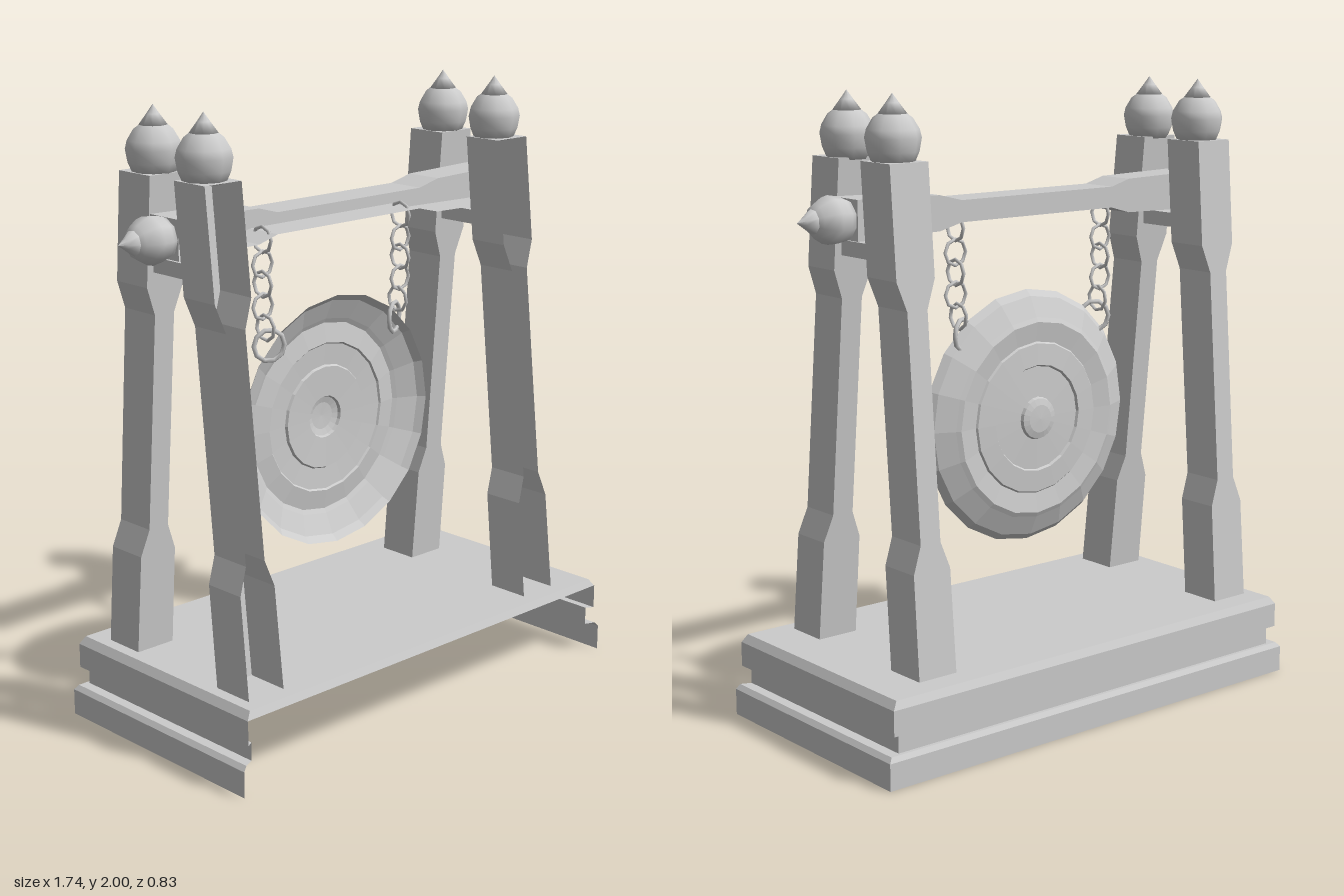
import * as THREE from 'three';

const flat = new THREE.MeshStandardMaterial({ color: 0xcccccc, flatShading: true, side: THREE.DoubleSide });
const smooth = new THREE.MeshStandardMaterial({ color: 0xcccccc, side: THREE.DoubleSide });

// Rectangular bar lofted up y. Rows: [y, centre x, half width x, front z, back z].
// The front side and the end caps are optional.
function bar(rows, { front = false, bottom = false, top = false } = {}) {
  const pos = [];
  const rings = rows.map(([y, cx, h, zf, zb]) => [
    [cx + h, y, zf], [cx + h, y, zb], [cx - h, y, zb], [cx - h, y, zf],
  ]);
  const quad = (a, b, c, d) => pos.push(...a, ...b, ...c, ...a, ...c, ...d);
  for (let r = 0; r < rings.length - 1; r++) {
    for (let i = 0; i < (front ? 4 : 3); i++) {
      const j = (i + 1) % 4;
      quad(rings[r][i], rings[r][j], rings[r + 1][j], rings[r + 1][i]);
    }
  }
  if (top) quad(...rings[rings.length - 1]);
  if (bottom) quad(...rings[0].slice().reverse());
  const g = new THREE.BufferGeometry();
  g.setAttribute('position', new THREE.Float32BufferAttribute(pos, 3));
  g.computeVertexNormals();
  return g;
}

function lathe(points, segments) {
  return new THREE.LatheGeometry(points.map(([r, y]) => new THREE.Vector2(r, y)), segments);
}

export function createModel() {
  const model = new THREE.Group();
  const add = (name, geometry, material = flat, parent = model) => {
    const mesh = new THREE.Mesh(geometry, material);
    mesh.name = name;
    parent.add(mesh);
    return mesh;
  };

  // Stepped plinth with an open front, and the bevelled top board
  const bx = 0.045;
  add('plinth', bar([
    [0, bx, 0.825, 0.415, -0.42],
    [0.085, bx, 0.825, 0.415, -0.42],
    [0.1, bx, 0.812, 0.41, -0.41],
    [0.1, bx, 0.778, 0.395, -0.398],
    [0.16, bx, 0.778, 0.395, -0.398],
    [0.16, bx, 0.803, 0.41, -0.412],
    [0.24, bx, 0.803, 0.41, -0.412],
  ]));
  add('plinthTop', bar([
    [0.24, bx, 0.803, 0.408, -0.412],
    [0.265, bx, 0.785, 0.398, -0.4],
  ], { front: true, top: true }));

  // Ball finial with a pointed tip, standing on y = 0 and 0.205 tall
  const ball = lathe([[0, 0], [0.064, 0], [0.079, 0.035], [0.086, 0.075], [0.08, 0.1],
    [0.06, 0.133], [0.04, 0.147]], 9);
  const tip = lathe([[0, 0.14], [0.044, 0.145], [0.02, 0.177], [0, 0.205]], 9);
  const finial = (name) => {
    const g = new THREE.Group();
    g.name = name;
    add('finialBall', ball, smooth, g);
    add('finialTip', tip, smooth, g);
    model.add(g);
    return g;
  };

  // Leaning legs, waisted in the middle
  const steps = [[0.26, 0.07], [0.59, 0.068], [0.675, 0.037], [1.37, 0.037], [1.46, 0.07], [1.8, 0.07]];
  const lean = (y, foot, head) => foot + (head - foot) * (y - 0.265) / 1.535;
  const legX = [['right', -0.631], ['left', 0.615]];
  for (const [side, x] of legX) {
    add(side + 'FrontLeg', bar(steps.map(([y, h]) =>
      [y, x, h, lean(y, 0.35, 0.187), lean(y, 0.205, 0.05)]), { top: true }));
    add(side + 'BackLeg', bar(steps.map(([y, h]) =>
      [y, x, h, lean(y, -0.178, -0.06), lean(y, -0.32, -0.205)]), { front: true, top: true }));
    finial(side + 'FrontFinial').position.set(x, 1.793, 0.104);
    finial(side + 'BackFinial').position.set(x, 1.793, -0.126);

    // Peg between the legs that carries the beam
    const peg = add(side + 'Peg', new THREE.BoxGeometry(0.1, 0.047, 0.15));
    peg.position.set(x, 1.53, -0.003);

    // Finial on the end of the beam
    const s = Math.sign(x);
    const end = finial(side + 'BeamFinial');
    end.scale.set(0.87, 0.9, 0.87);
    end.rotation.z = -s * Math.PI / 2;
    end.position.set(s * 0.687, 1.625, 0);
  }

  // Cross beam, thinner in the middle, laid along x
  const beam = add('beam', bar([
    [-0.7, 0, 0.062, 0.064, -0.064],
    [-0.385, 0, 0.055, 0.064, -0.064],
    [-0.31, 0, 0.034, 0.064, -0.064],
    [0.31, 0, 0.034, 0.064, -0.064],
    [0.395, 0, 0.055, 0.064, -0.064],
    [0.7, 0, 0.062, 0.064, -0.064],
  ], { top: true, bottom: true }));
  beam.rotation.z = -Math.PI / 2;
  beam.position.y = 1.625;

  // Chains of alternating links, with a larger ring through the gong rim
  const link = new THREE.TorusGeometry(0.041, 0.006, 5, 8);
  const bigRing = new THREE.TorusGeometry(0.05, 0.008, 5, 10);
  for (const s of [-1, 1]) {
    const chain = new THREE.Group();
    chain.name = s < 0 ? 'rightChain' : 'leftChain';
    chain.position.x = -0.015 + s * 0.302;
    [1.567, 1.49, 1.427, 1.357, 1.287].forEach((y, i) => {
      const m = add('link', link, smooth, chain);
      m.position.y = y;
      m.rotation.y = i % 2 ? 0 : Math.PI / 2;
      if (i === 4) {
        m.rotation.z = s * 0.2;
        m.position.x = -s * 0.01;
      }
    });
    const ring = add('rimRing', bigRing, smooth, chain);
    ring.position.set(-s * 0.025, 1.228, 0);
    ring.rotation.y = s * 0.45;
    model.add(chain);
  }

  // Shallow gong, open to the front, with concentric ridges and a boss
  const gong = add('gong', lathe([[0, -0.064], [0.045, -0.062], [0.066, -0.056], [0.07, -0.046],
    [0.17, -0.042], [0.175, -0.05], [0.245, -0.046], [0.25, -0.04], [0.315, -0.05],
    [0.33, -0.042], [0.395, -0.012], [0.415, 0.01]], 20), flat);
  gong.rotation.x = Math.PI / 2;
  gong.position.set(-0.008, 0.93, 0);

  return model;
}
